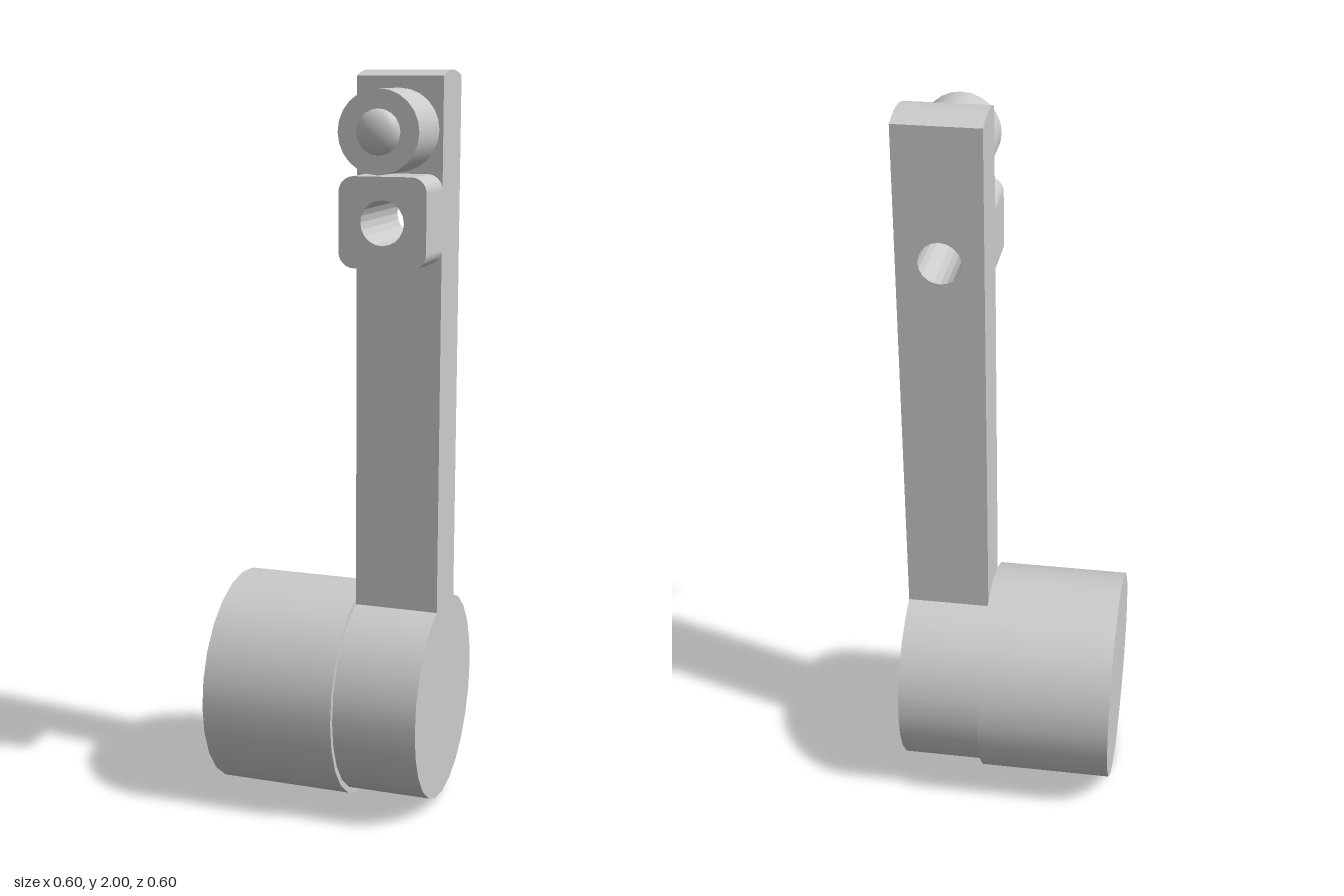
import * as THREE from 'three';

const material = new THREE.MeshStandardMaterial({ color: 0xcccccc });
const ARM_X = 0.185; // centre line of the arm
const HALF = 0.115; // half width of the arm
const DEPTH = 0.085; // half depth of the arm
const HOLE_Y = 1.625;

function add(group, name, geometry, x = 0, y = 0, z = 0) {
  const mesh = new THREE.Mesh(geometry, material);
  mesh.name = name;
  mesh.position.set(x, y, z);
  group.add(mesh);
  return mesh;
}

// Rectangle with rounded corners, pierced by a round hole
function piercedShape(x0, y0, x1, y1, r, holeY) {
  const s = new THREE.Shape();
  s.moveTo(x0 + r, y0);
  s.lineTo(x1 - r, y0);
  if (r) s.absarc(x1 - r, y0 + r, r, -Math.PI / 2, 0);
  s.lineTo(x1, y1 - r);
  if (r) s.absarc(x1 - r, y1 - r, r, 0, Math.PI / 2);
  s.lineTo(x0 + r, y1);
  if (r) s.absarc(x0 + r, y1 - r, r, Math.PI / 2, Math.PI);
  s.lineTo(x0, y0 + r);
  if (r) s.absarc(x0 + r, y0 + r, r, Math.PI, Math.PI * 1.5);
  s.holes.push(new THREE.Path().absarc(0, holeY, 0.057, 0, Math.PI * 2, true));
  return s;
}

const extrude = (shape, depth) =>
  new THREE.ExtrudeGeometry(shape, { depth, bevelEnabled: false, curveSegments: 10 });

// Drum lying along x between two ends
function drum(group, name, radius, x0, x1) {
  const geometry = new THREE.CylinderGeometry(radius, radius, x1 - x0, 24).rotateZ(Math.PI / 2);
  add(group, name, geometry, (x0 + x1) / 2, 0.3, 0);
}

export function createModel() {
  const group = new THREE.Group();
  group.name = 'crankHandle';

  // Grip drum and the narrower hub under the arm
  drum(group, 'largeDrum', 0.3, -0.3, 0.07);
  drum(group, 'hubDrum', 0.284, 0.07, 0.3);

  // Upright arm, bored through from front to back
  const arm = piercedShape(-HALF, 0.45, HALF, 1.985, 0, HOLE_Y);
  add(group, 'arm', extrude(arm, DEPTH * 2), ARM_X, 0, -DEPTH);

  // Slightly arched top of the arm
  const cap = new THREE.Shape();
  cap.moveTo(-DEPTH, 0);
  cap.lineTo(DEPTH, 0);
  cap.quadraticCurveTo(0, 0.03, -DEPTH, 0);
  add(group, 'armTop', extrude(cap, HALF * 2).rotateY(Math.PI / 2), ARM_X - HALF, 1.985, 0);

  // Rounded block around the bore
  const block = piercedShape(-HALF, 1.51, HALF, 1.74, 0.04, HOLE_Y);
  add(group, 'boreBlock', extrude(block, 0.145), ARM_X, 0, DEPTH);

  // Round knob with a small domed button
  const knob = new THREE.CylinderGeometry(0.105, 0.105, 0.18, 24).rotateX(Math.PI / 2);
  add(group, 'knob', knob, ARM_X, 1.85, DEPTH + 0.09);
  const dome = new THREE.SphereGeometry(0.057, 20, 8, 0, Math.PI * 2, 0, Math.PI / 2).rotateX(Math.PI / 2);
  add(group, 'button', dome, ARM_X, 1.85, 0.264).scale.z = 0.56;

  return group;
}
